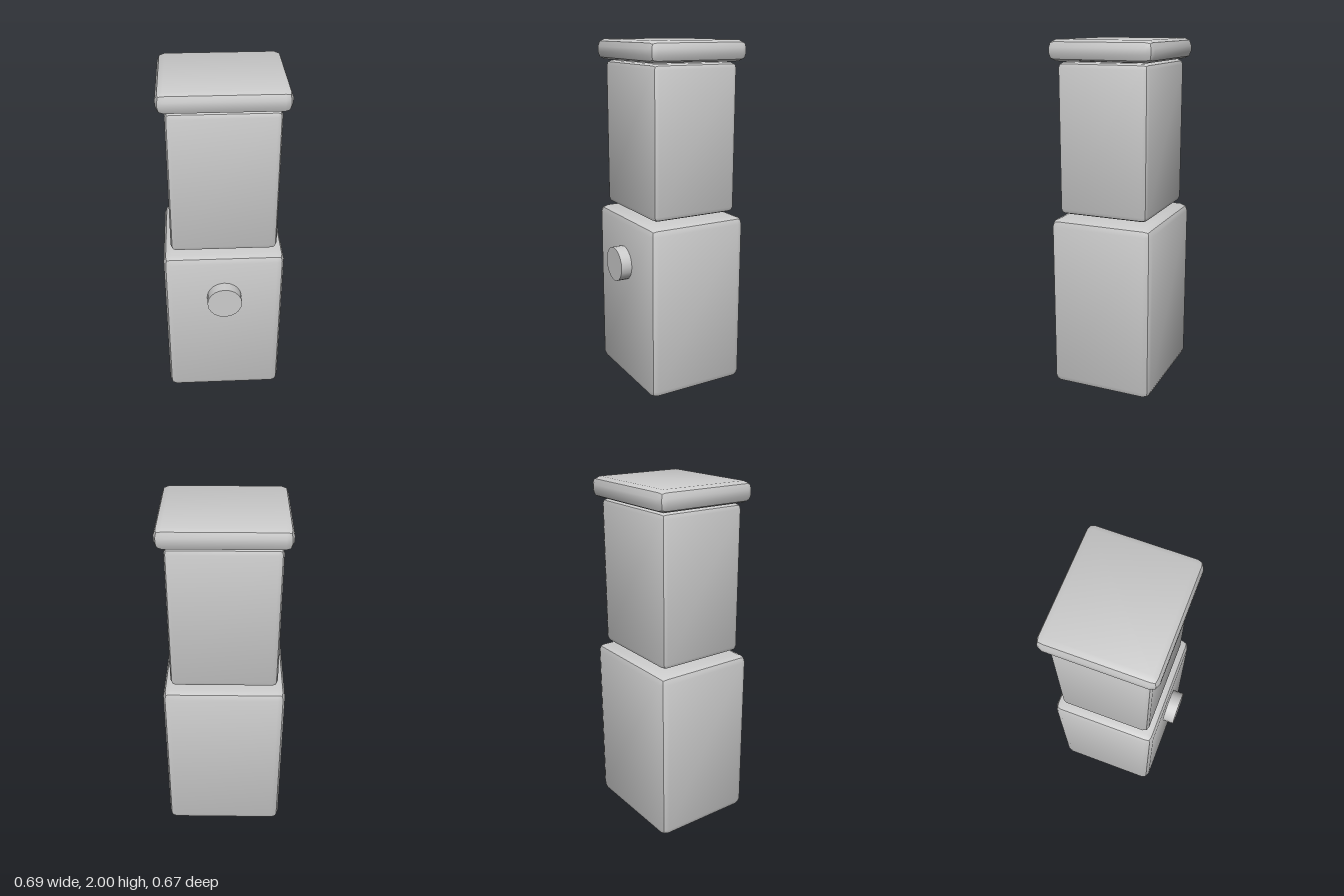
import * as THREE from 'three';
import { RoundedBoxGeometry } from 'three/addons/geometries/RoundedBoxGeometry.js';
import { toCreasedNormals } from 'three/addons/utils/BufferGeometryUtils.js';

const BODY_Z = -0.0325; // the knob sticks out, so the blocks sit slightly back

export function createModel() {
  const group = new THREE.Group();
  const material = new THREE.MeshStandardMaterial({ color: 0xcccccc });

  // Block with a two-step bevel, placed between two heights
  function addBlock(name, width, depth, bottom, top, bevel) {
    const box = new RoundedBoxGeometry(width, top - bottom, depth, 1, bevel);
    const mesh = new THREE.Mesh(toCreasedNormals(box, 0.65), material);
    mesh.name = name;
    mesh.position.set(0, (bottom + top) / 2, BODY_Z);
    group.add(mesh);
  }

  addBlock('lowerBody', 0.686, 0.605, 0, 1.01, 0.042);
  addBlock('upperBody', 0.6, 0.525, 1.035, 1.88, 0.03);
  addBlock('cap', 0.686, 0.605, 1.885, 2, 0.042);

  // Round knob on the front of the lower body, sunk a little into it
  const knob = new THREE.Mesh(new THREE.CylinderGeometry(0.1, 0.1, 0.085, 20), material);
  knob.name = 'knob';
  knob.rotation.x = Math.PI / 2;
  knob.position.set(0, 0.733, 0.2925);
  group.add(knob);

  return group;
}
